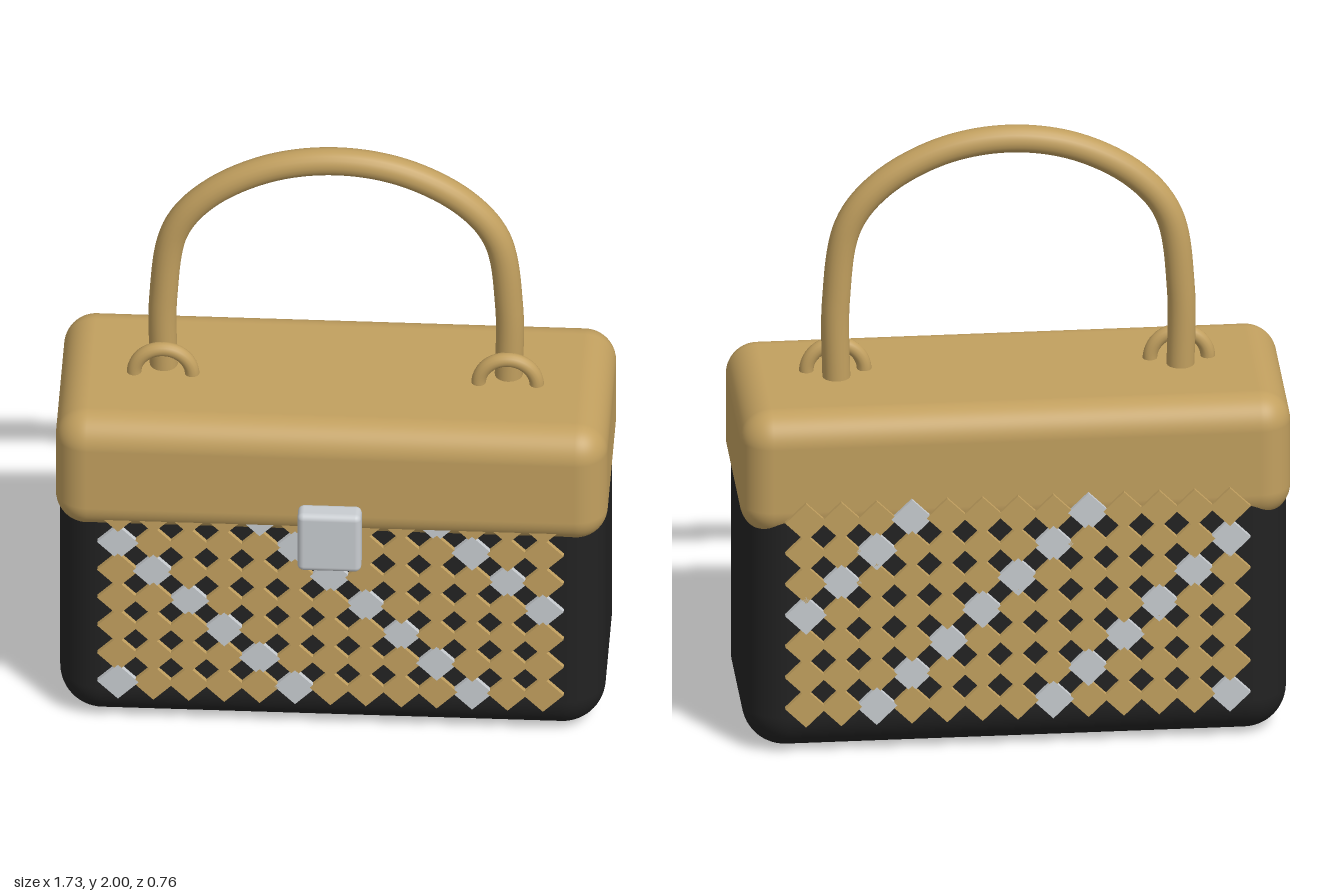
import * as THREE from 'three';
import { RoundedBoxGeometry } from 'three/addons/geometries/RoundedBoxGeometry.js';

const material = (name, color) => {
  const m = new THREE.MeshStandardMaterial({ color });
  m.name = name;
  return m;
};

export function createModel() {
  const gold = material('gold', 0xc2a05f);
  const black = material('black', 0x222222);
  const silver = material('silver', 0xc8ccd0);

  const bag = new THREE.Group();
  bag.name = 'handbag';

  const add = (name, geometry, mat, x, y, z, parent = bag) => {
    const mesh = new THREE.Mesh(geometry, mat);
    mesh.name = name;
    mesh.position.set(x, y, z);
    parent.add(mesh);
    return mesh;
  };

  // Case: dark body with a slightly larger lid over its top
  add('body', new RoundedBoxGeometry(1.71, 1.0, 0.642, 8, 0.135), black, 0, 0.5, -0.039);
  add('lid', new RoundedBoxGeometry(1.73, 0.417, 0.68, 8, 0.1), gold, 0, 0.9535, -0.027);

  // Clasp
  add('clasp', new RoundedBoxGeometry(0.2, 0.215, 0.075, 4, 0.02), silver, 0, 0.782, 0.3425);

  // Diamond tiles on front and back, with silver diagonals
  const side = 0.13 / Math.SQRT2;
  const tile = new THREE.BoxGeometry(side, side, 0.02).rotateZ(Math.PI / 4);
  for (const [name, z] of [['frontTiles', 0.289], ['backTiles', -0.37]]) {
    const panel = new THREE.Group();
    panel.name = name;
    bag.add(panel);
    for (let row = 0; row < 7; row++) {
      for (let col = 0; col < 13; col++) {
        const isSilver = (row + col) % 5 === 0;
        add(isSilver ? 'silverTile' : 'goldTile', tile, isSilver ? silver : gold,
          (col - 6) * 0.111, 0.175 + row * 0.1067, z, panel);
      }
    }
  }

  // Handle: one arched tube, mirrored about the middle
  const half = [[0.54, 1.12], [0.542, 1.42], [0.503, 1.68], [0.4, 1.815], [0.21, 1.922]];
  const path = [
    ...half.map(([x, y]) => new THREE.Vector3(-x, y, 0)),
    new THREE.Vector3(0, 1.957, 0),
    ...half.slice().reverse().map(([x, y]) => new THREE.Vector3(x, y, 0)),
  ];
  add('handle', new THREE.TubeGeometry(new THREE.CatmullRomCurve3(path), 96, 0.044, 20),
    gold, 0, 0, -0.041);

  // Half rings at the foot of the handle
  const ring = new THREE.TorusGeometry(0.091, 0.023, 14, 32, Math.PI);
  for (const s of [-1, 1]) add(s > 0 ? 'leftRing' : 'rightRing', ring, gold, s * 0.54, 1.16, 0.008);

  return bag;
}
